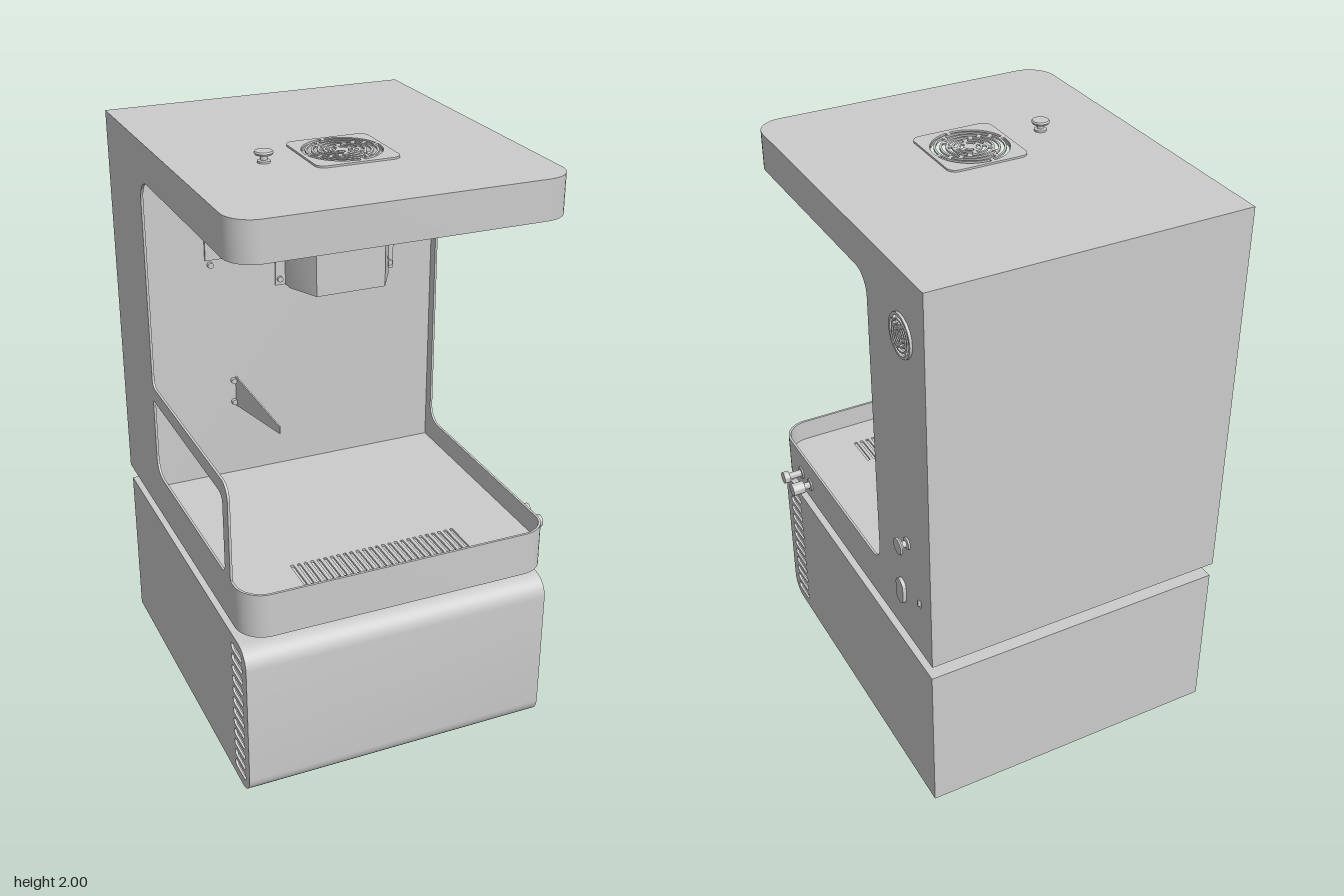
import * as THREE from 'three';
import { toCreasedNormals } from 'three/addons/utils/BufferGeometryUtils.js';

const L = -0.56, R = 0.485, MID = (L + R) / 2, W = R - L; // cabinet sides
const T = 0.008;                                           // sheet thickness
const mat = new THREE.MeshStandardMaterial({ color: 0xcccccc, side: THREE.DoubleSide });

// Closed path through [x, y, cornerRadius] points
function rounded(points, Type = THREE.Shape) {
  const path = new Type(), n = points.length, k = 0.5523;
  points.forEach(([x, y, r = 0], i) => {
    const p = new THREE.Vector2(x, y);
    const toward = (q) => new THREE.Vector2(q[0], q[1]).sub(p).normalize().multiplyScalar(r).add(p);
    const a = toward(points[(i + n - 1) % n]), b = toward(points[(i + 1) % n]);
    if (i) path.lineTo(a.x, a.y); else path.moveTo(a.x, a.y);
    if (r) {
      const c = a.clone().lerp(p, k), d = b.clone().lerp(p, k);
      path.bezierCurveTo(c.x, c.y, d.x, d.y, b.x, b.y);
    }
  });
  path.closePath();
  return path;
}
const rect = (x0, y0, x1, y1, r = 0, Type = THREE.Shape) =>
  rounded([[x0, y0, r], [x1, y0, r], [x1, y1, r], [x0, y1, r]], Type);
const circle = (x, y, r) => new THREE.Path().absarc(x, y, r, 0, Math.PI * 2);

const extrude = (shape, depth) => toCreasedNormals(
  new THREE.ExtrudeGeometry(shape, { depth, bevelEnabled: false, curveSegments: 10 }), 0.6);

export function createModel() {
  const model = new THREE.Group();
  const add = (name, geo, x = 0, y = 0, z = 0, parent = model) => {
    const mesh = new THREE.Mesh(geo, mat);
    mesh.name = name;
    mesh.position.set(x, y, z);
    parent.add(mesh);
    return mesh;
  };
  const box = (name, x0, x1, y0, y1, z0, z1) => add(name,
    new THREE.BoxGeometry(x1 - x0, y1 - y0, z1 - z0), (x0 + x1) / 2, (y0 + y1) / 2, (z0 + z1) / 2);
  // Shape in (z, y), its outer face at x, thickness toward -x
  const sidePlate = (name, shape, x, depth = T) => add(name, extrude(shape, depth).rotateY(-Math.PI / 2), x);
  // Shape in (x, z), its upper face at y, thickness downward
  const flatPlate = (name, shape, y, depth = T) => add(name, extrude(shape, depth).rotateX(Math.PI / 2), 0, y);
  const turned = (pts) => toCreasedNormals(
    new THREE.LatheGeometry(pts.map((p) => new THREE.Vector2(...p)), 24), 0.6);

  // Levelling feet under both cabinets
  const footGeo = turned([[0, 0], [0.027, 0], [0.027, 0.008], [0.011, 0.014], [0.011, 0.024],
    [0.021, 0.024], [0.021, 0.034], [0.011, 0.034], [0.011, 0.06], [0, 0.06]]);
  for (const y of [0, 0.6]) for (const x of [-0.475, 0.405]) for (const z of [0.39, -0.52])
    add('foot', footGeo, x, y, z);

  // Lower cabinet with a rounded, hollow front cover
  box('lowerCabinet', L + 0.003, R, 0.05, 0.597, -0.605, 0.44);
  const cover = rounded([[0.44, 0.05], [0.597, 0.05, 0.065], [0.597, 0.597, 0.065], [0.44, 0.597],
    [0.44, 0.589], [0.589, 0.589, 0.057], [0.589, 0.058, 0.057], [0.44, 0.058]]);
  sidePlate('frontCover', cover, R, W - 0.003);
  for (const x of [R, L + 0.003 + T]) {
    const end = rounded([[0.44, 0.05], [0.597, 0.05, 0.065], [0.597, 0.597, 0.065], [0.44, 0.597]]);
    for (let i = 0; i < 12; i++) {
      const y = 0.096 + i * 0.0415;
      end.holes.push(rect(0.464, y - 0.013, 0.56, y + 0.013, 0.0125, THREE.Path));
    }
    sidePlate('coverVentedEnd', end, x);
  }
  for (const x of [L + 0.05, R - 0.07]) for (const y of [0.09, 0.36])
    box('coverBracket', x, x + 0.02, y, y + 0.15, 0.44, 0.505);

  // C-shaped side walls of the upper cabinet; the left in view carries the handle frame
  const wallTop = [[-0.245, 1.84, 0.07], [0.51, 1.84], [0.51, 1.965], [-0.61, 1.965]];
  const base = [[-0.61, 0.65], [0.51, 0.65], [0.51, 0.8]];
  const plainWall = rounded([...base, [-0.245, 0.8, 0.06], ...wallTop]);
  plainWall.holes.push(circle(-0.47, 1.765, 0.062), rect(-0.54, 0.835, -0.532, 0.865, 0, THREE.Path));
  sidePlate('sideWall', plainWall, R);
  const handleWall = rounded([...base, [0.49, 0.8], [0.49, 1.125, 0.05], [-0.245, 1.125, 0.03], ...wallTop]);
  handleWall.holes.push(rounded([[0.443, 0.8, 0.03], [0.443, 1.075, 0.03], [-0.245, 1.075], [-0.245, 0.8, 0.06]], THREE.Path));
  sidePlate('sideWallWithHandle', handleWall, L + T);

  // Front bands with rounded corners
  const band = rounded([[L, 0.51], [L, 0.605, 0.09], [R, 0.605, 0.09], [R, 0.51],
    [R - T, 0.51], [R - T, 0.597, 0.082], [L + T, 0.597, 0.082], [L + T, 0.51]]);
  flatPlate('baseFrontBand', band, 0.8, 0.15);
  flatPlate('roofFrontBand', band, 1.965, 0.125);

  // Roof, work floor, underside, back and inner panel
  const plan = (e = 0) => rounded([[L + e, -0.61 + e], [R - e, -0.61 + e],
    [R - e, 0.605 - e, 0.09 - e], [L + e, 0.605 - e, 0.09 - e]]);
  const roof = plan();
  roof.holes.push(circle(-0.035, 0.12, 0.122));
  flatPlate('roof', roof, 1.965);
  const floor = plan(0.006);
  for (let i = 0; i < 26; i++) {
    const x = -0.32 + i * 0.0225;
    floor.holes.push(rect(x, 0.37, x + 0.011, 0.49, 0.005, THREE.Path));
  }
  flatPlate('workFloor', floor, 0.725);
  flatPlate('underside', plan(0.006), 0.666);
  box('backPanel', L, R, 0.65, 1.965, -0.61, -0.602);
  box('innerPanel', L + T, R - T, 0.66, 1.957, -0.288, -0.28);

  // Fan guards: concentric arc slots, each ring turned a little further
  const slots = (shape, cx, cy, radius, rings) => {
    const step = radius * 0.85 / rings;
    for (let k = 0; k < rings; k++) for (let q = 0; q < 4; q++) {
      const r0 = radius * 0.15 + k * step, r1 = r0 + step * 0.62;
      const a0 = k * 0.3 + q * Math.PI / 2, a1 = a0 + 1.57 - Math.min(0.5, 0.012 / r0);
      const slot = new THREE.Path();
      slot.absarc(cx, cy, r1, a0, a1, false);
      slot.absarc(cx, cy, r0, a1, a0, true);
      slot.closePath();
      shape.holes.push(slot);
    }
    return shape;
  };
  flatPlate('roofFanGuard', slots(rect(-0.17, -0.015, 0.1, 0.26, 0.03), -0.035, 0.12, 0.13, 6), 1.971, 0.006);
  const disc = new THREE.Shape().absarc(-0.47, 1.765, 0.068, 0, Math.PI * 2);
  sidePlate('sideFanGuard', slots(disc, -0.47, 1.765, 0.064, 4), R + 0.008);

  // Mushroom buttons on the roof and side
  const buttonGeo = turned([[0, 0], [0.02, 0], [0.02, 0.006], [0.011, 0.008], [0.011, 0.022],
    [0.026, 0.024], [0.029, 0.03], [0.026, 0.035], [0, 0.036]]);
  add('roofButton', buttonGeo, -0.29, 1.965, 0.135);
  add('sideButton', buttonGeo, R, 1.035, -0.46).rotation.z = -Math.PI / 2;

  // Power inlet
  sidePlate('powerInlet', rect(-0.437, 0.77, -0.387, 0.86, 0.024), R + 0.012, 0.016);
  box('switchTab', R - 0.002, R + 0.006, 0.84, 0.862, -0.532, -0.527);

  // Valve knobs low on the side
  const knob = (headStart, stem, head) => turned([[0, 0], [0.022, 0], [0.022, 0.005], [stem, 0.005],
    [stem, headStart], [head, headStart], [head, 0.07], [0, 0.07]]);
  add('valveKnob', knob(0.027, 0.012, 0.022), R, 0.715, 0.345).rotation.z = -Math.PI / 2;
  add('valveKnob', knob(0.05, 0.012, 0.021), R, 0.715, 0.425).rotation.z = -Math.PI / 2;

  // Tapered housing on the inner panel
  flatPlate('panelHousing', rounded([[-0.07, -0.28], [-0.07, -0.235], [-0.018, -0.125],
    [0.23, -0.125], [0.295, -0.235], [0.295, -0.28]]), 1.573, 0.17);
  box('housingFlange', -0.105, 0.33, 1.403, 1.573, -0.28, -0.275);

  // Hanging plate with a slit, and its mount
  const hanger = rect(-0.335, 1.64, -0.165, 1.957);
  hanger.holes.push(rect(-0.257, 1.73, -0.243, 1.9, 0.006, THREE.Path));
  add('hangingPlate', extrude(hanger, 0.005), 0, 0, -0.143);
  box('hangerMount', -0.35, -0.155, 1.527, 1.68, -0.28, -0.272);

  // Triangular shelf bracket
  sidePlate('shelfBracket', rounded([[0.132, 1.067], [0.132, 1.092], [-0.28, 1.092], [-0.28, 0.982]]), -0.252, 0.005);

  // Bolts on the inner panel
  const boltGeo = new THREE.CylinderGeometry(0.01, 0.01, 0.014, 12).rotateX(Math.PI / 2);
  const bolts = [[-0.09, 1.425], [-0.09, 1.55], [0.315, 1.425], [0.315, 1.55],
    [-0.333, 1.51], [-0.17, 1.51], [-0.265, 1.08], [-0.265, 1.0]];
  for (const [x, y] of bolts) add('panelBolt', boltGeo, x, y, -0.273);
  for (const x of [-0.325, -0.175]) add('hangerBolt', boltGeo, x, 1.695, -0.141);

  return model;
}
